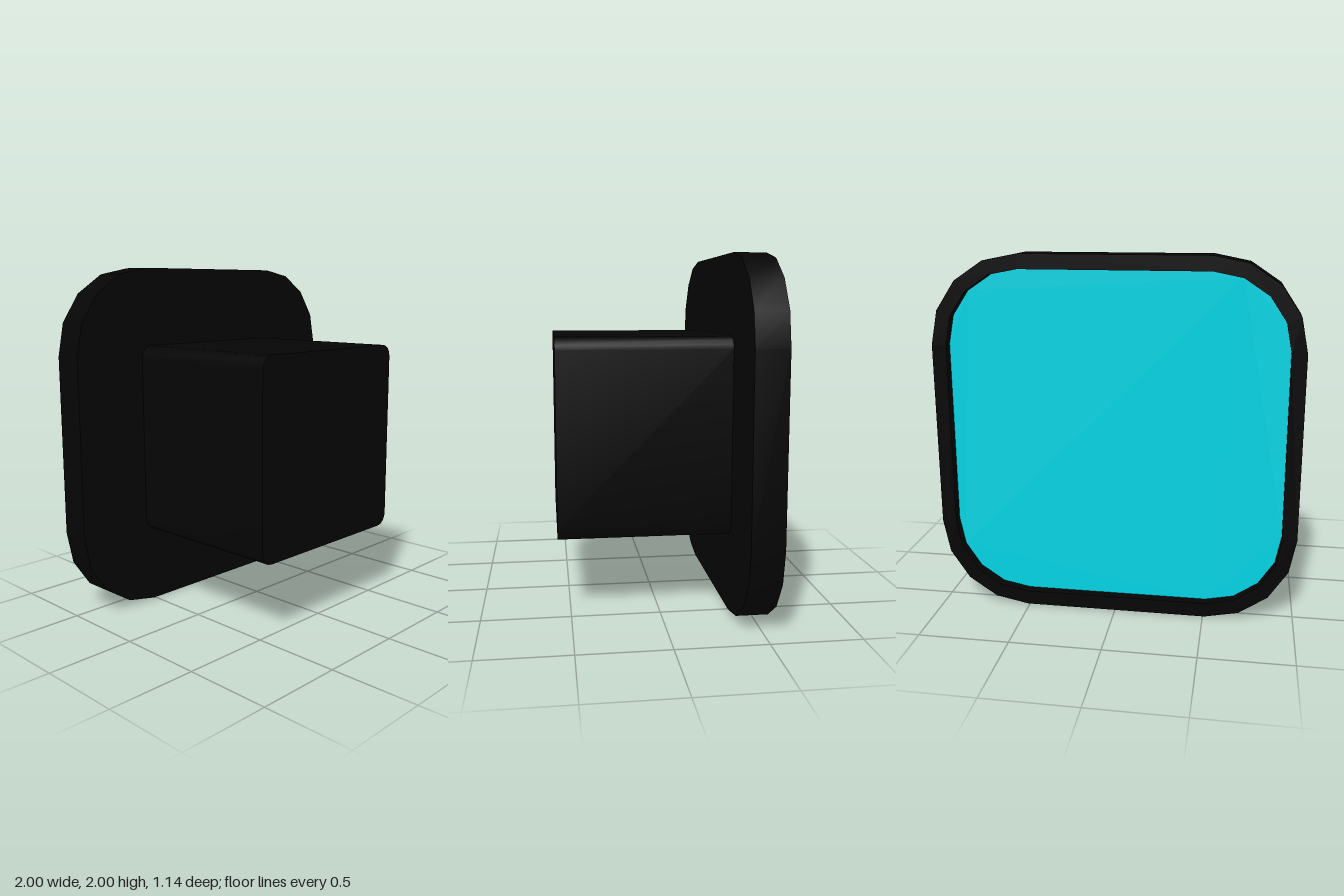
import * as THREE from 'three';
import { toCreasedNormals } from 'three/addons/utils/BufferGeometryUtils.js';

const CENTER_Y = 1;
const BACK = -0.57, PANEL = -0.515, STEP = -0.39, FRONT = 0.57;

// Square with faceted round corners, centred on the origin
function roundedSquare(half, radius, PathType = THREE.Shape) {
  const path = new PathType();
  const c = half - radius;
  [[c, c], [-c, c], [-c, -c], [c, -c]].forEach(([x, y], i) => {
    path.absarc(x, y, radius, i * Math.PI / 2, (i + 1) * Math.PI / 2, false);
  });
  path.closePath();
  return path;
}

// Extrudes a shape between two z positions, shading the round corners smoothly
function slab(name, shape, z0, z1, material) {
  const geometry = new THREE.ExtrudeGeometry(shape, {
    depth: z1 - z0, bevelEnabled: false, curveSegments: 2, // four facets per corner
  });
  const mesh = new THREE.Mesh(toCreasedNormals(geometry, 0.6), material);
  mesh.name = name;
  mesh.position.set(0, CENTER_Y, z0);
  return mesh;
}

export function createModel() {
  const group = new THREE.Group();
  group.name = 'squareButton';
  const black = new THREE.MeshStandardMaterial({ color: 0x050505 });
  const teal = new THREE.MeshStandardMaterial({ color: 0x04d4e4 });

  // Outer body of the plate, open at the back to form a rim
  const rim = roundedSquare(1, 0.49);
  rim.holes.push(roundedSquare(0.92, 0.41, THREE.Path));
  group.add(slab('rim', rim, BACK, STEP, black));

  // Coloured panel sunk into the rim
  group.add(slab('panel', roundedSquare(0.92, 0.41), PANEL, PANEL + 0.04, teal));

  // Front wall closing the plate
  group.add(slab('frontWall', roundedSquare(0.92, 0.41), PANEL + 0.04, STEP, black));

  // Square stem with small rounded edges
  group.add(slab('stem', roundedSquare(0.555, 0.07), STEP, FRONT, black));

  return group;
}
